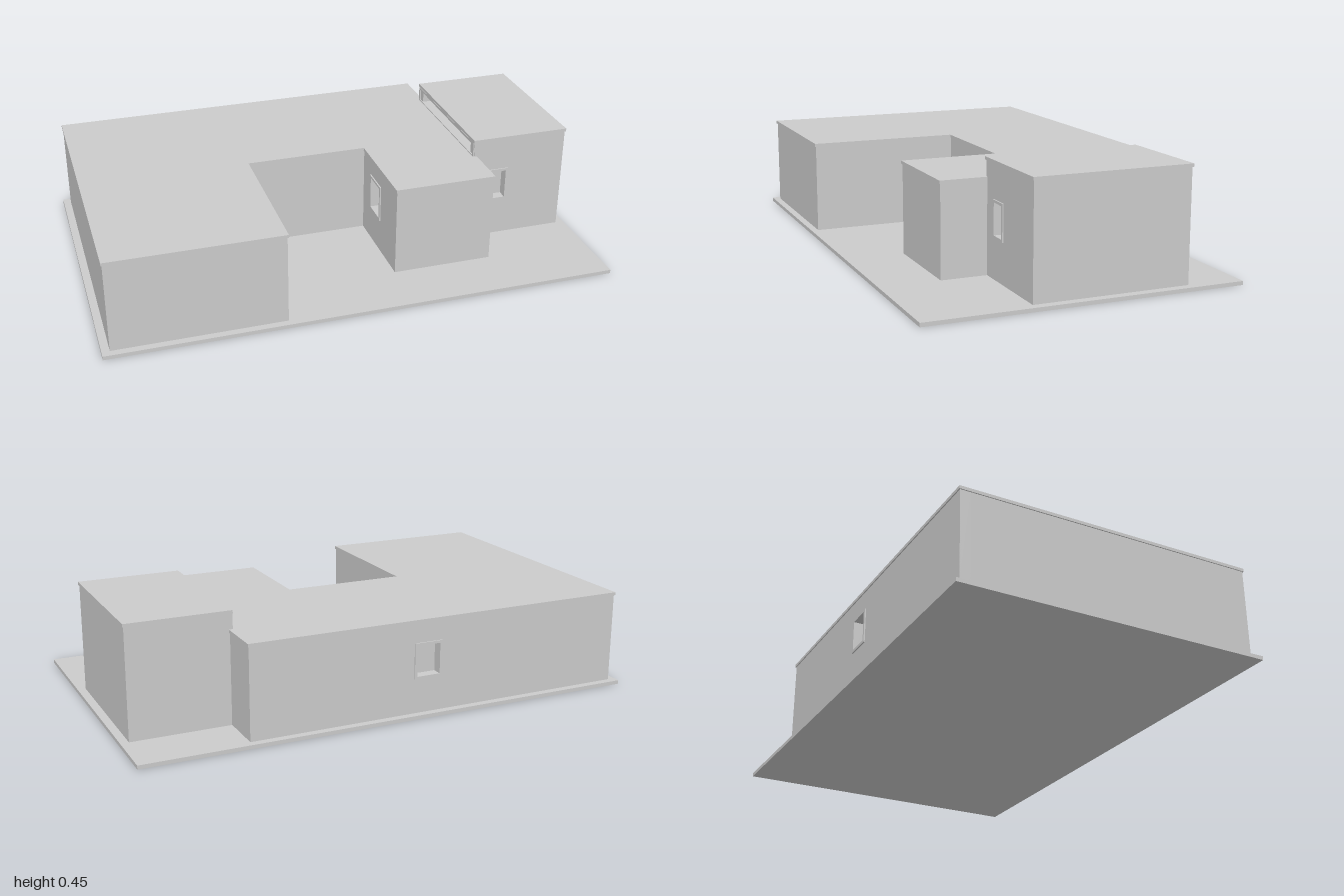
import * as THREE from 'three';

const BASE = 0.015, WALL = 0.04, ROOF = 0.012, OVERHANG = 0.004;

export function createModel() {
  const model = new THREE.Group();
  model.name = 'house';
  const plaster = new THREE.MeshStandardMaterial({ color: 0xcccccc });
  plaster.name = 'light grey';

  const add = (parent, name, geometry) => {
    const mesh = new THREE.Mesh(geometry, plaster);
    mesh.name = name;
    parent.add(mesh);
    return mesh;
  };
  const rect = (C, x0, y0, x1, y1) => new C([
    new THREE.Vector2(x0, y0), new THREE.Vector2(x1, y0),
    new THREE.Vector2(x1, y1), new THREE.Vector2(x0, y1),
  ]);
  // panel with optional rectangular opening, between two depths
  const panel = (outer, hole, back, front) => {
    const shape = rect(THREE.Shape, ...outer);
    if (hole) shape.holes.push(rect(THREE.Path, ...hole));
    return new THREE.ExtrudeGeometry(shape, { depth: front - back, bevelEnabled: false })
      .translate(0, 0, back);
  };

  // one wall running from a to b, outside on its local +z
  const addWall = (parent, a, b, top, win) => {
    const dx = b[0] - a[0], dz = b[1] - a[1];
    const wall = new THREE.Group();
    wall.name = 'wall';
    wall.position.set(a[0], 0, a[1]);
    wall.rotation.y = Math.atan2(-dz, dx);
    parent.add(wall);
    let hole = null;
    if (win) {
      const [x0, y0, x1, y1] = win, f = 0.01;
      hole = [x0 + f, y0 + f, x1 - f, y1 - f];
      add(wall, 'windowFrame', panel(win, hole, -0.001, 0.005));
      add(wall, 'windowPane', panel(win, null, -WALL - 0.004, -WALL + 0.005));
    }
    add(wall, 'wallPanel', panel([0, BASE, Math.hypot(dx, dz), top], hole, -WALL, 0));
  };

  // walls around an outline, capped by a slightly overhanging roof slab
  const addBlock = (name, outline, height, windows) => {
    const block = new THREE.Group();
    block.name = name;
    model.add(block);
    const n = outline.length;
    const normal = (i) => {
      const a = outline[i], b = outline[(i + 1) % n];
      return [-Math.sign(b[1] - a[1]), Math.sign(b[0] - a[0])];
    };
    const eaves = outline.map((p, i) => {
      const m = normal((i + n - 1) % n), k = normal(i);
      return new THREE.Vector2(p[0] + (m[0] + k[0]) * OVERHANG, -p[1] - (m[1] + k[1]) * OVERHANG);
    });
    outline.forEach((p, i) => addWall(block, p, outline[(i + 1) % n], height - ROOF, windows[i]));
    const roof = new THREE.ExtrudeGeometry(new THREE.Shape(eaves), { depth: ROOF, bevelEnabled: false });
    add(block, 'roof', roof.rotateX(-Math.PI / 2).translate(0, height - ROOF, 0));
  };

  // ground slab
  add(model, 'groundSlab', new THREE.BoxGeometry(2, BASE, 1.226)).position.y = BASE / 2;

  // main wing wrapped around the courtyard
  addBlock('mainWing', [
    [-0.97, 0.585], [-0.31, 0.585], [-0.31, -0.01], [0.18, -0.01],
    [0.18, 0.38], [0.58, 0.38], [0.58, -0.585], [-0.97, -0.585],
  ], 0.38, { 4: null, 3: [0.09, 0.15, 0.21, 0.3], 6: [0.655, 0.15, 0.77, 0.29] });

  // taller side block with a strip window above the main roof
  addBlock('tallBlock', [
    [0.573, 0.2], [0.968, 0.2], [0.968, -0.405], [0.573, -0.405],
  ], 0.452, { 0: [0.067, 0.17, 0.152, 0.31], 3: [0.002, 0.374, 0.603, 0.44] });

  return model;
}
